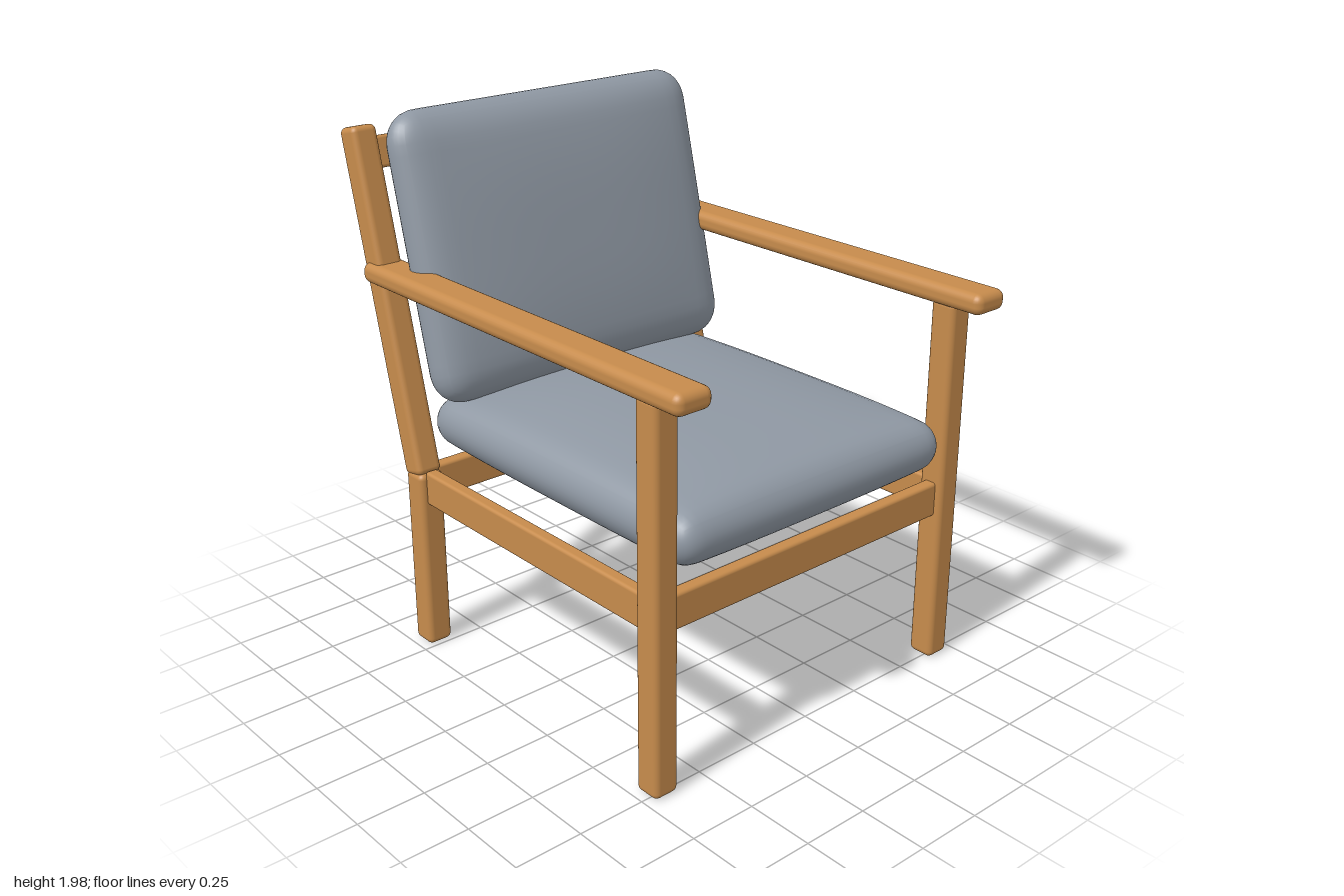
import * as THREE from 'three';
import { RoundedBoxGeometry } from 'three/addons/geometries/RoundedBoxGeometry.js';
import { mergeVertices } from 'three/addons/utils/BufferGeometryUtils.js';

const LEAN = -0.24; // backward tilt of the backrest

// Rounded slab that swells towards its middle; thickness runs along y.
function pillowGeometry(w, thick, d, edge, r) {
  const geo = new THREE.BoxGeometry(2, 2, 2, 28, 10, 28);
  geo.deleteAttribute('uv');
  geo.deleteAttribute('normal');
  const pos = geo.attributes.position;
  const ease = (t) => Math.sin((t * Math.PI) / 2);
  const ix = w / 2 - r, iz = d / 2 - r;
  const p = new THREE.Vector3(), core = new THREE.Vector3();
  for (let i = 0; i < pos.count; i++) {
    p.set((ease(pos.getX(i)) * w) / 2, pos.getY(i) * r, (ease(pos.getZ(i)) * d) / 2);
    core.set(THREE.MathUtils.clamp(p.x, -ix, ix), 0, THREE.MathUtils.clamp(p.z, -iz, iz));
    p.sub(core).setLength(r).add(core);
    const u = Math.min(1, Math.abs(p.x) / (w / 2)), v = Math.min(1, Math.abs(p.z) / (d / 2));
    const swell = (1 - u ** 3) * (1 - v ** 3);
    const half = edge / 2 + ((thick - edge) / 2) * swell;
    pos.setXYZ(i, p.x, (p.y / r) * half, p.z);
  }
  const merged = mergeVertices(geo, 1e-5);
  merged.computeVertexNormals();
  return merged;
}

export function createModel() {
  const chair = new THREE.Group();
  chair.name = 'armchair';
  const wood = new THREE.MeshStandardMaterial({ color: 0xc68b4c });
  wood.name = 'wood';
  const fabric = new THREE.MeshStandardMaterial({ color: 0x8f98a3 });
  fabric.name = 'grey fabric';

  const add = (name, geo, mat, x, y, z, tilt = 0) => {
    const mesh = new THREE.Mesh(geo, mat);
    mesh.name = name;
    mesh.position.set(x, y, z);
    mesh.rotation.x = tilt;
    chair.add(mesh);
  };
  const bar = (name, w, h, d, r, x, y, z, tilt) =>
    add(name, new RoundedBoxGeometry(w, h, d, 3, r), wood, x, y, z, tilt);

  // Legs, leaning posts, armrests and side rails, mirrored
  for (const [side, s] of [['left', 1], ['right', -1]]) {
    bar(side + 'FrontLeg', 0.1, 1.39, 0.1, 0.022, s * 0.67, 0.7, 0.735);
    bar(side + 'BackLeg', 0.1, 0.7, 0.1, 0.022, s * 0.67, 0.355, -0.56);
    bar(side + 'BackPost', 0.1, 1.266, 0.1, 0.022, s * 0.67, 1.305, -0.715, LEAN);
    bar(side + 'Armrest', 0.145, 0.075, 1.695, 0.03, s * 0.67, 1.418, 0.063);
    bar(side + 'SideRail', 0.05, 0.13, 1.22, 0.012, s * 0.67, 0.65, 0.09);
  }

  // Cross rails
  bar('frontRail', 1.26, 0.13, 0.05, 0.012, 0, 0.65, 0.735);
  bar('backRail', 1.26, 0.13, 0.05, 0.012, 0, 0.65, -0.56);
  bar('topRail', 1.26, 0.115, 0.042, 0.012, 0, 1.82, -0.847, LEAN);

  // Cushions
  add('seatCushion', pillowGeometry(1.24, 0.31, 1.4, 0.18, 0.09), fabric, 0, 0.873, 0.1);
  add('backCushion', pillowGeometry(1.335, 0.245, 1.045, 0.15, 0.12), fabric,
    0, 1.48, -0.573, Math.PI / 2 + LEAN);

  return chair;
}
